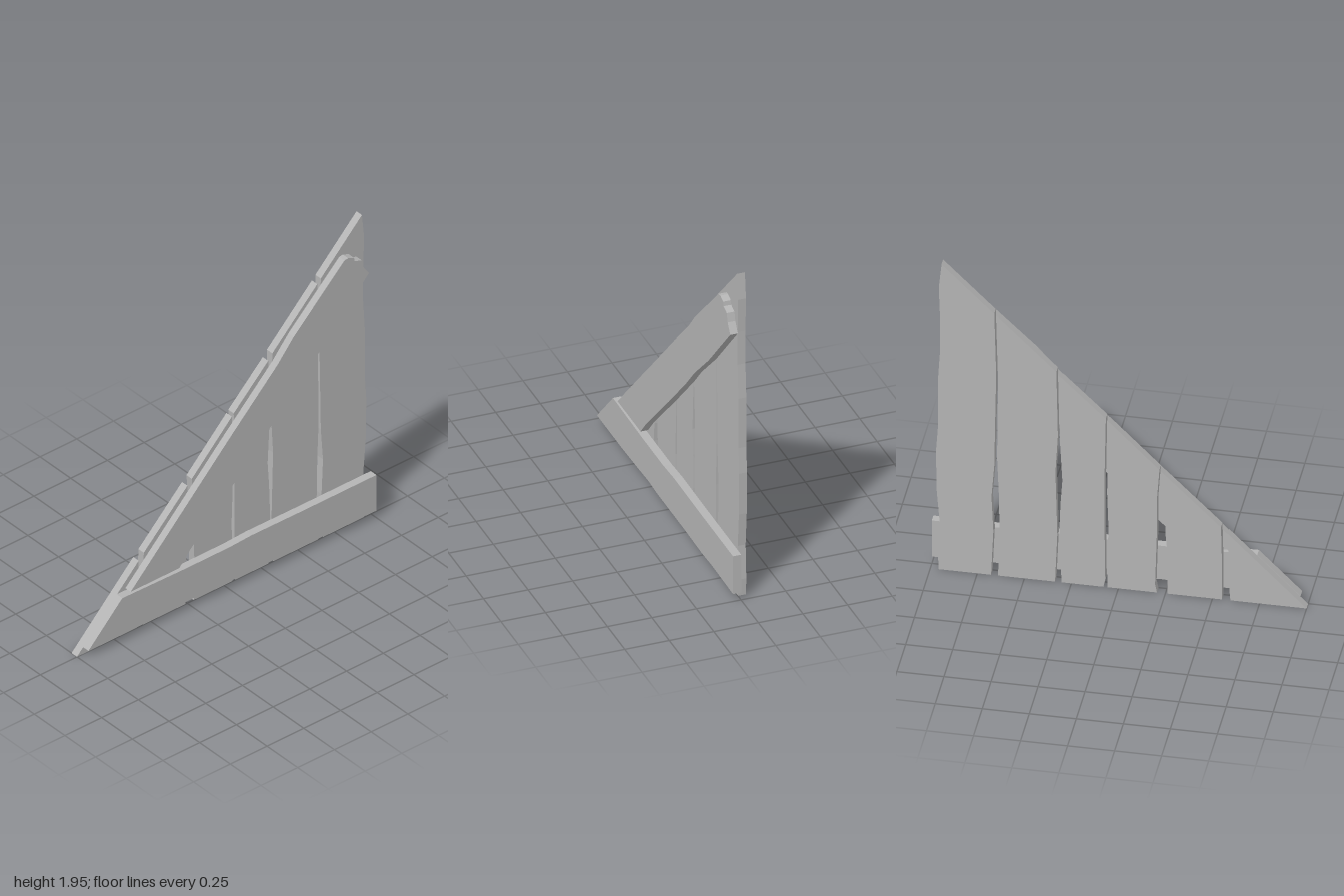
import * as THREE from 'three';

export function createModel() {
  const group = new THREE.Group();
  group.name = 'plankPanel';
  const wood = new THREE.MeshStandardMaterial({ color: 0xb4b4b4 });
  wood.name = 'grey wood';

  // Sawn board: outline in x,y given a thickness in z
  function board(name, points, z, depth) {
    const shape = new THREE.Shape(points.map(([x, y]) => new THREE.Vector2(x, y)));
    const geometry = new THREE.ExtrudeGeometry(shape, { depth, bevelEnabled: false });
    const mesh = new THREE.Mesh(geometry, wood);
    mesh.name = name;
    mesh.position.z = z;
    group.add(mesh);
  }

  // Upright planks: wavy left and right edges from bottom to top, cut on the slant
  const planks = [
    { left: [[-1, 0]], right: [[-0.595, 0], [-0.59, 0.06], [-0.585, 0.27], [-0.58, 0.425]] },
    {
      left: [[-0.55, 0], [-0.55, 0.25], [-0.545, 0.46]],
      right: [[-0.26, 0], [-0.26, 0.27], [-0.25, 0.38], [-0.255, 0.6], [-0.248, 0.755]],
    },
    {
      left: [[-0.205, 0], [-0.195, 0.05], [-0.205, 0.4], [-0.205, 0.6], [-0.218, 0.785]],
      right: [[0.058, 0], [0.058, 0.25], [0.052, 0.36], [0.06, 0.6], [0.054, 1.06]],
    },
    {
      left: [[0.08, 0], [0.07, 0.05], [0.074, 0.4], [0.073, 0.75], [0.067, 1.075]],
      right: [[0.302, 0], [0.315, 0.3], [0.308, 0.5], [0.298, 0.65], [0.312, 0.92], [0.302, 1.305]],
    },
    {
      left: [[0.337, 0], [0.325, 0.3], [0.33, 0.5], [0.335, 0.7], [0.322, 0.93], [0.33, 1.34]],
      right: [[0.64, 0], [0.632, 0.28], [0.635, 0.5], [0.645, 0.75], [0.64, 1.25], [0.636, 1.645]],
    },
    {
      left: [[0.677, 0], [0.665, 0.28], [0.675, 0.5], [0.66, 0.7], [0.655, 1], [0.65, 1.28], [0.66, 1.67]],
      right: [[0.955, 0], [0.96, 0.1], [0.95, 0.3], [0.966, 0.5], [0.97, 0.75], [0.96, 0.9],
        [0.96, 1.2], [0.948, 1.4], [0.948, 1.6], [0.955, 1.8], [0.94, 1.95]],
    },
  ];
  planks.forEach(({ left, right }, i) =>
    board('plank' + (i + 1), [...right, ...[...left].reverse()], -0.045, 0.044));

  // Bottom rail across the front
  board('bottomRail', [
    [-0.96, 0.045], [-0.6, 0.045], [-0.4, 0.05], [-0.22, 0.057], [-0.1, 0.05], [0.3, 0.05],
    [0.55, 0.045], [0.7, 0.05], [1, 0.045], [1, 0.275], [0.5, 0.275], [0.15, 0.278],
    [0, 0.27], [-0.3, 0.27], [-0.73, 0.278],
  ], -0.001, 0.046);

  // Diagonal brace with a splintered upper end
  board('diagonalBrace', [
    [-0.67, 0.29], [-0.34, 0.29], [-0.26, 0.38], [0.07, 0.7], [0.32, 0.95], [0.435, 1.075],
    [0.64, 1.265], [0.952, 1.595], [0.915, 1.65], [0.902, 1.7], [0.855, 1.715], [0.85, 1.74],
    [0.81, 1.755], [0.785, 1.752], [0.44, 1.42], [0.33, 1.29], [0, 0.965],
  ], -0.001, 0.043);

  return group;
}
